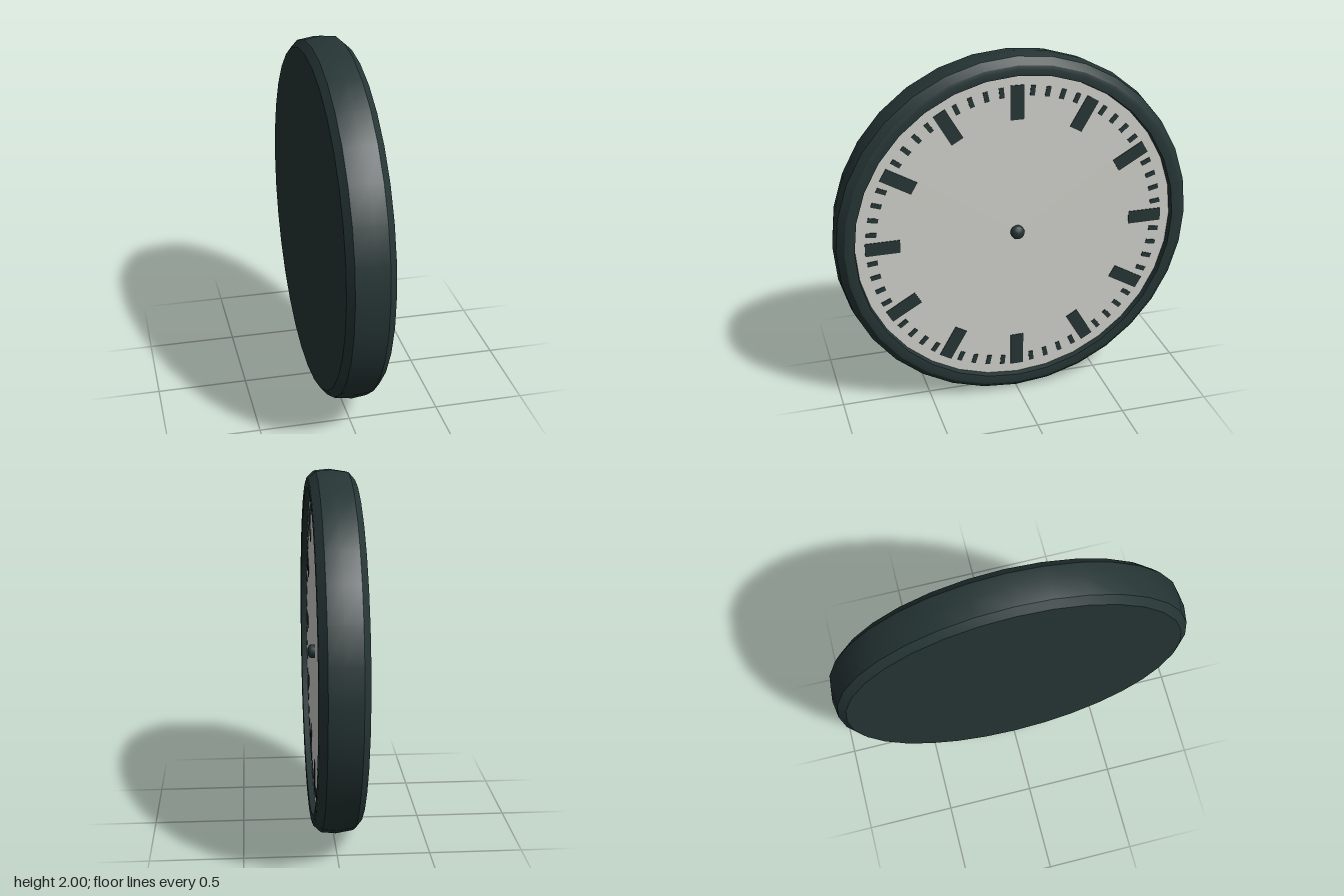
import * as THREE from 'three';
import { toCreasedNormals } from 'three/addons/utils/BufferGeometryUtils.js';

const DIAL_X = 0.09;

export function createModel() {
  const model = new THREE.Group();
  model.name = 'wallClock';

  const frameMat = new THREE.MeshStandardMaterial({ color: 0x263535 });
  frameMat.name = 'darkFrame';
  const dialMat = new THREE.MeshStandardMaterial({ color: 0xcfcfca });
  dialMat.name = 'paleDial';

  // The clock is built facing +y, then turned to face +x
  const body = new THREE.Group();
  body.name = 'clockBody';
  body.rotation.z = -Math.PI / 2;
  body.position.y = 1;
  model.add(body);

  const add = (name, geometry, material, parent = body) => {
    const mesh = new THREE.Mesh(geometry, material);
    mesh.name = name;
    parent.add(mesh);
    return mesh;
  };
  const lathe = (points, sides, crease) => toCreasedNormals(
    new THREE.LatheGeometry(points.map(([r, h]) => new THREE.Vector2(r, h)), sides), crease);

  // Frame: flat back, rounded rim, raised front bezel and inner wall
  add('frame', lathe([
    [0, -0.13], [0.945, -0.13], [0.985, -0.095], [1, 0], [0.992, 0.08],
    [0.955, 0.12], [0.935, 0.125], [0.9, 0.122], [0.892, DIAL_X - 0.01],
  ], 32, 0.45), frameMat);

  // Dial
  const dial = add('dial', new THREE.CircleGeometry(0.896, 32), dialMat);
  dial.rotation.x = -Math.PI / 2;
  dial.position.y = DIAL_X;

  // Hour and minute marks
  const marks = new THREE.Group();
  marks.name = 'marks';
  body.add(marks);
  const hourGeo = new THREE.BoxGeometry(0.19, 0.004, 0.074);
  const minuteGeo = new THREE.BoxGeometry(0.056, 0.004, 0.026);
  for (let i = 0; i < 60; i++) {
    const hour = i % 5 === 0;
    const angle = i * Math.PI / 30;
    const radius = hour ? 0.745 : 0.808;
    const mark = add(hour ? 'hourMark' : 'minuteMark', hour ? hourGeo : minuteGeo, frameMat, marks);
    mark.position.set(Math.cos(angle) * radius, DIAL_X + 0.002, -Math.sin(angle) * radius);
    mark.rotation.y = angle;
  }

  // Domed centre pin
  add('centrePin', lathe([
    [0.038, DIAL_X - 0.005], [0.038, 0.108], [0.034, 0.118], [0.022, 0.126], [0, 0.13],
  ], 16, 0.9), frameMat);

  return model;
}
